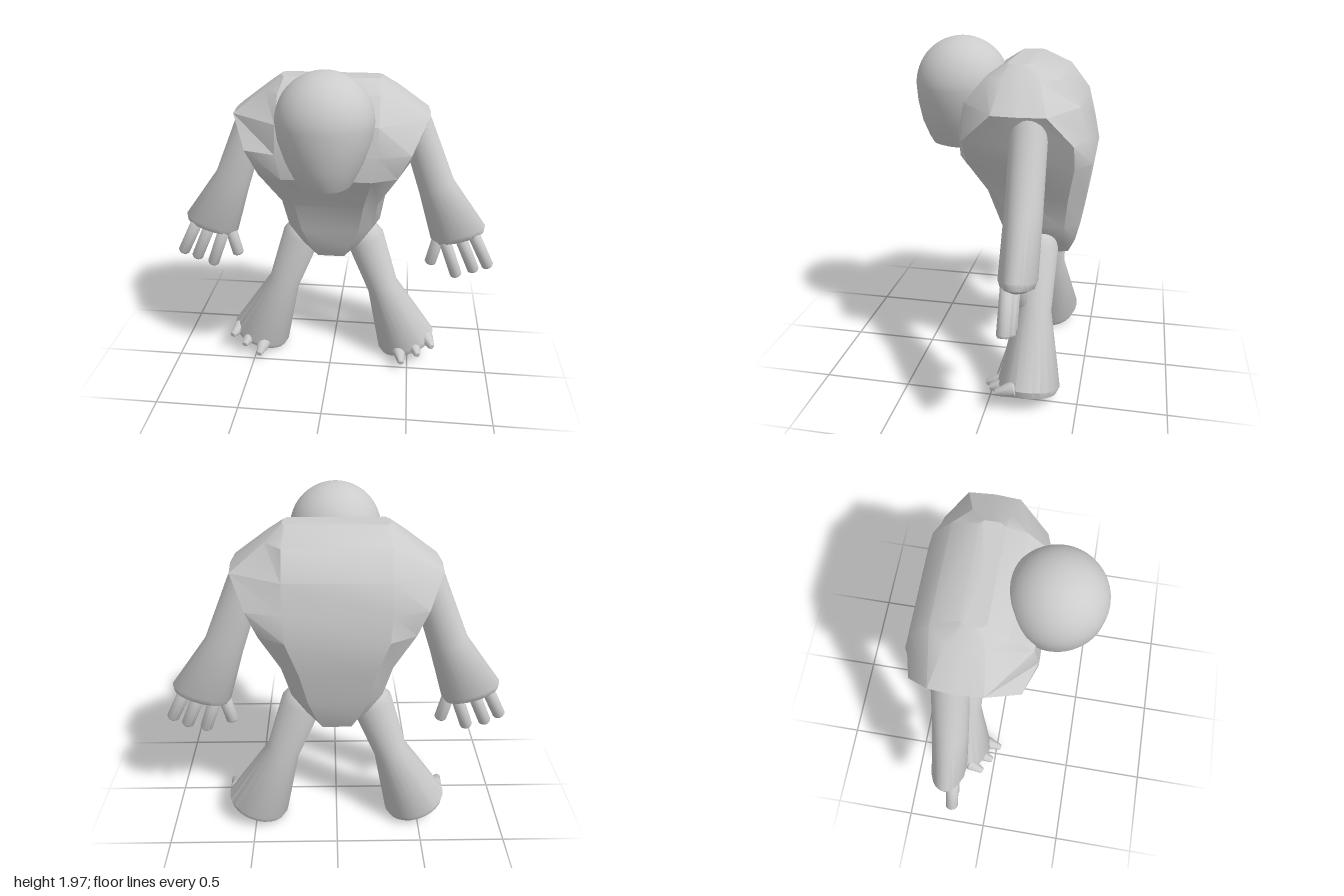
import * as THREE from 'three';
import { toCreasedNormals } from 'three/addons/utils/BufferGeometryUtils.js';

const material = new THREE.MeshStandardMaterial({ color: 0xcccccc });

function addMesh(parent, geometry, name) {
  const mesh = new THREE.Mesh(geometry, material);
  mesh.name = name;
  parent.add(mesh);
  return mesh;
}

// Closed skin through rings of [x, y, z] points, capped at both ends
function loft(rings, crease) {
  const n = rings[0].length, index = [];
  const points = rings.flat();
  const centre = ring => [0, 1, 2].map(k => ring.reduce((sum, p) => sum + p[k], 0) / n);
  const first = points.push(centre(rings[0])) - 1;
  const last = points.push(centre(rings[rings.length - 1])) - 1;
  const end = (rings.length - 1) * n;
  for (let i = 0; i < n; i++) {
    const k = (i + 1) % n;
    for (let r = 0; r < end; r += n) {
      index.push(r + i, r + k, r + n + i, r + k, r + n + k, r + n + i);
    }
    index.push(first, k, i, last, end + i, end + k);
  }
  const geometry = new THREE.BufferGeometry();
  geometry.setAttribute('position', new THREE.Float32BufferAttribute(points.flat(), 3));
  geometry.setIndex(index);
  return toCreasedNormals(geometry, crease);
}

// Limb of oval sections [x, y, tilt in degrees, half width, half depth]
function limb(sections, z, side) {
  return loft(sections.map(([x, y, tilt, w, d]) => {
    const a = THREE.MathUtils.degToRad(tilt);
    return Array.from({ length: 24 }, (_, i) => {
      const t = i / 24 * Math.PI * 2, u = Math.cos(t) * w;
      return [side * (x + u * Math.cos(a)), y + u * Math.sin(a), z + side * d * Math.sin(t)];
    });
  }), 0.75);
}

// Tapered digit with softened ends, running from a to b
function digit(parent, name, a, b, r0, r1, side) {
  const from = new THREE.Vector3(a[0] * side, a[1], a[2]);
  const to = new THREE.Vector3(b[0] * side, b[1], b[2]);
  const dir = to.clone().sub(from), length = dir.length();
  const profile = [[0, 0], [r0 * 0.7, 0], [r0, r0 * 0.4], [r1, length - r1 * 0.3], [r1 * 0.75, length], [0, length]]
    .map(p => new THREE.Vector2(...p));
  const mesh = addMesh(parent, toCreasedNormals(new THREE.LatheGeometry(profile, 12), 0.8), name);
  mesh.position.copy(from);
  mesh.quaternion.setFromUnitVectors(new THREE.Vector3(0, 1, 0), dir.normalize());
}

// Ten-sided torso ring: front, front corner, side, back corner, back
function torsoRing([y, xf, zf, xc, zc, xs, zs, xb, zb, xr, zr]) {
  const half = [[xs, y, zs], [xb, y, zb], [xr, y, zr]];
  const front = [[xf, y, zf], [xc, y, zc]];
  const flip = list => list.map(([x, h, z]) => [-x, h, z]).reverse();
  return [...half, ...flip(half), ...flip(front), ...front];
}

export function createModel() {
  const model = new THREE.Group();
  model.name = 'hunchedCreature';

  // Torso: broad hunched shoulders tapering to the hips
  const torso = [
    [0.76, 0.08, -0.07, 0.10, -0.12, 0.11, -0.22, 0.10, -0.33, 0.08, -0.38],
    [0.85, 0.12, -0.02, 0.17, -0.07, 0.20, -0.22, 0.17, -0.36, 0.12, -0.42],
    [0.97, 0.17, 0.01, 0.25, -0.05, 0.29, -0.20, 0.25, -0.37, 0.16, -0.45],
    [1.15, 0.20, 0.07, 0.28, 0.01, 0.32, -0.17, 0.30, -0.39, 0.20, -0.48],
    [1.36, 0.25, 0.21, 0.39, 0.14, 0.46, -0.15, 0.41, -0.43, 0.27, -0.51],
    [1.50, 0.28, 0.21, 0.46, 0.15, 0.51, -0.15, 0.47, -0.43, 0.28, -0.48],
    [1.66, 0.28, 0.18, 0.55, -0.02, 0.56, -0.16, 0.55, -0.30, 0.28, -0.44],
    [1.80, 0.28, 0.06, 0.37, -0.04, 0.38, -0.14, 0.37, -0.24, 0.28, -0.33],
    [1.87, 0.26, -0.05, 0.28, -0.08, 0.28, -0.12, 0.28, -0.16, 0.26, -0.18],
  ].map(torsoRing);
  addMesh(model, loft(torso, 0.5), 'torso');

  // Head: round dome over a narrowing jaw, slimmer across than deep
  const profile = [[0, 1.365], [0.15, 1.365], [0.18, 1.375], [0.2, 1.41], [0.235, 1.5], [0.257, 1.62]];
  for (let i = 0; i <= 16; i++) {
    const a = i / 16 * Math.PI / 2;
    profile.push([0.262 * Math.cos(a), 1.71 + 0.262 * Math.sin(a)]);
  }
  const head = new THREE.LatheGeometry(profile.map(p => new THREE.Vector2(...p)), 40);
  const position = head.attributes.position;
  for (let i = 0; i < position.count; i++) {
    const drop = THREE.MathUtils.clamp((1.66 - position.getY(i)) / 0.26, 0, 1);
    position.setX(i, position.getX(i) * (1 - 0.17 * drop));
  }
  addMesh(model, toCreasedNormals(head, 0.6), 'head').position.z = 0.25;

  const armSections = [
    [0.46, 1.665, 18, 0.04, 0.045], [0.465, 1.64, 18, 0.08, 0.085], [0.48, 1.58, 18, 0.095, 0.097],
    [0.62, 1.20, 24, 0.11, 0.098], [0.77, 0.90, 18, 0.17, 0.098],
    [0.78, 0.865, 18, 0.155, 0.085], [0.785, 0.85, 18, 0.115, 0.055],
  ];
  const legSections = [
    [0.165, 0.925, 20, 0.05, 0.05], [0.175, 0.90, 20, 0.09, 0.09], [0.2, 0.83, 20, 0.12, 0.115],
    [0.32, 0.49, 24, 0.10, 0.10], [0.485, 0.10, 19, 0.19, 0.178],
    [0.492, 0.062, 19, 0.175, 0.16], [0.495, 0.05, 19, 0.10, 0.09],
  ];
  const fingers = [
    [[0.86, 0.91, -0.17], [0.972, 0.685, -0.17]],
    [[0.78, 0.89, -0.18], [0.888, 0.645, -0.18]],
    [[0.69, 0.86, -0.17], [0.782, 0.61, -0.17]],
    [[0.66, 0.88, -0.19], [0.612, 0.68, -0.19]],
  ];
  const toes = [
    [[0.445, 0.085, -0.09], [0.462, 0.06, 0.03]],
    [[0.535, 0.12, -0.12], [0.565, 0.10, -0.01]],
    [[0.615, 0.15, -0.17], [0.655, 0.135, -0.06]],
  ];

  // Arms and legs on both sides
  for (const [side, label] of [[1, 'left'], [-1, 'right']]) {
    const arm = new THREE.Group();
    arm.name = label + 'Arm';
    addMesh(arm, limb(armSections, -0.205, side), label + 'ArmLimb');
    fingers.forEach(([a, b], i) =>
      digit(arm, i < 3 ? label + 'Finger' + (i + 1) : label + 'Thumb', a, b, 0.037, 0.036, side));

    const leg = new THREE.Group();
    leg.name = label + 'Leg';
    addMesh(leg, limb(legSections, -0.22, side), label + 'LegLimb');
    toes.forEach(([a, b], i) => digit(leg, label + 'Toe' + (i + 1), a, b, 0.045, 0.02, side));
    model.add(arm, leg);
  }
  return model;
}
